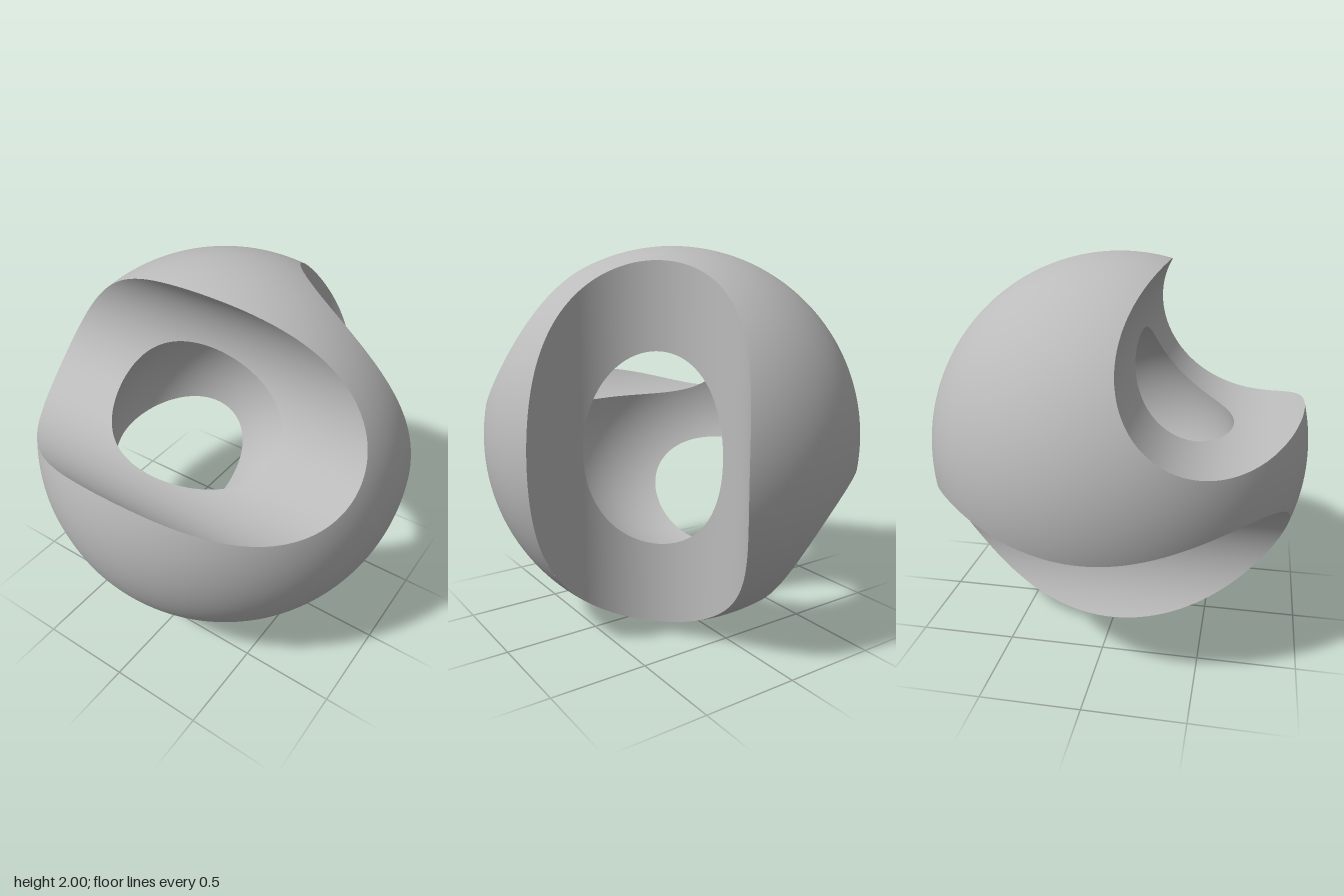
import * as THREE from 'three';

const OUTER = 1, CAVITY = 0.625, BORE = 0.5, OFFSET = 0.625;
const V = (x, y, z) => new THREE.Vector3(x, y, z);

// Three round bores, one along each axis, each offset towards a different edge
const bores = [
  { name: 'upperRightBore', axis: V(0, 0, 1), centre: V(-OFFSET, OFFSET, 0) },
  { name: 'lowerBackBore', axis: V(1, 0, 0), centre: V(0, -OFFSET, -OFFSET) },
  { name: 'frontLeftBore', axis: V(0, 1, 0), centre: V(OFFSET, 0, OFFSET) },
];

// Distance outside the nearest bore; negative inside one
function clearance(p) {
  return Math.min(...bores.map(({ axis, centre }) => {
    const d = p.clone().sub(centre);
    return d.addScaledVector(axis, -d.dot(axis)).length() - BORE;
  }));
}

// Mesh from triangles, turned to agree with the given smooth normal
function makeMesh(name, triangles, normalAt, material) {
  const pos = [], nor = [];
  for (const [a, b, c] of triangles) {
    const face = b.clone().sub(a).cross(c.clone().sub(a));
    const mean = normalAt(a).add(normalAt(b)).add(normalAt(c));
    for (const p of face.dot(mean) < 0 ? [a, c, b] : [a, b, c]) {
      pos.push(...p.toArray());
      nor.push(...normalAt(p).toArray());
    }
  }
  const geo = new THREE.BufferGeometry();
  geo.setAttribute('position', new THREE.Float32BufferAttribute(pos, 3));
  geo.setAttribute('normal', new THREE.Float32BufferAttribute(nor, 3));
  const mesh = new THREE.Mesh(geo, material);
  mesh.name = name;
  return mesh;
}

// Point on the sphere where the edge from a to b crosses a bore wall
function crossing(a, b, radius) {
  let lo = 0, hi = 1;
  const sign = Math.sign(clearance(a));
  const at = (t) => a.clone().lerp(b, t).setLength(radius);
  for (let i = 0; i < 24; i++) {
    const mid = (lo + hi) / 2;
    if (Math.sign(clearance(at(mid))) === sign) lo = mid; else hi = mid;
  }
  return at(hi);
}

// Sphere surface with the bore openings trimmed away
function trimmedSphere(radius, across, down) {
  const src = new THREE.SphereGeometry(radius, across, down).toNonIndexed().attributes.position;
  const triangles = [];
  for (let i = 0; i < src.count; i += 3) {
    const tri = [0, 1, 2].map((k) => V().fromBufferAttribute(src, i + k));
    const gaps = tri.map(clearance);
    const kept = [];
    tri.forEach((p, k) => {
      const n = (k + 1) % 3;
      if (gaps[k] >= 0) kept.push(p);
      if ((gaps[k] >= 0) !== (gaps[n] >= 0)) kept.push(crossing(p, tri[n], radius));
    });
    for (let k = 2; k < kept.length; k++) triangles.push([kept[0], kept[k - 1], kept[k]]);
  }
  return triangles;
}

// Bore wall between the cavity and the outer sphere
function boreWall({ axis, centre }) {
  const D = centre.length(), out = centre.clone().normalize(), side = axis.clone().cross(out);
  const limit = (R) => Math.acos((D * D + BORE * BORE - R * R) / (2 * D * BORE));
  const inner = limit(CAVITY), outer = limit(OUTER), N = 64;

  // Angles bunch up where the rims turn sharply
  const half = [];
  for (let i = 0; i <= N; i++) half.push(inner * Math.sin((Math.PI / 2) * (i / N)));
  for (let i = 1; i <= N; i++) half.push(inner + (outer - inner) * (1 - Math.cos(Math.PI * i / N)) / 2);
  const angles = [...half.slice(1).reverse().map((a) => -a), ...half];

  const rows = angles.map((a) => {
    const d2 = D * D + BORE * BORE - 2 * D * BORE * Math.cos(a);
    const reach = (R) => Math.sqrt(Math.max(0, R * R - d2));
    const base = centre.clone().addScaledVector(out, -BORE * Math.cos(a)).addScaledVector(side, BORE * Math.sin(a));
    return [-reach(OUTER), -reach(CAVITY), reach(CAVITY), reach(OUTER)]
      .map((t) => base.clone().addScaledVector(axis, t));
  });
  const triangles = [];
  for (let i = 1; i < rows.length; i++) {
    for (const k of [0, 2]) {
      const [a, b, c, d] = [rows[i - 1][k], rows[i - 1][k + 1], rows[i][k + 1], rows[i][k]];
      triangles.push([a, b, c], [a, c, d]);
    }
  }
  return triangles;
}

export function createModel() {
  const group = new THREE.Group();
  group.name = 'boredHollowSphere';
  const grey = new THREE.MeshStandardMaterial({ color: 0xbbbbbb });
  grey.name = 'plainGrey';

  // Outer skin and hollow inside
  group.add(makeMesh('outerShell', trimmedSphere(OUTER, 192, 96), (p) => p.clone().normalize(), grey));
  group.add(makeMesh('innerCavity', trimmedSphere(CAVITY, 144, 72), (p) => p.clone().normalize().negate(), grey));

  // Walls of the three bores
  for (const bore of bores) {
    const towardsAxis = (p) => {
      const d = bore.centre.clone().sub(p);
      return d.addScaledVector(bore.axis, -d.dot(bore.axis)).normalize();
    };
    group.add(makeMesh(bore.name, boreWall(bore), towardsAxis, grey));
  }

  // Rest on the ground
  group.children.forEach((mesh) => { mesh.position.y = OUTER; });
  return group;
}
